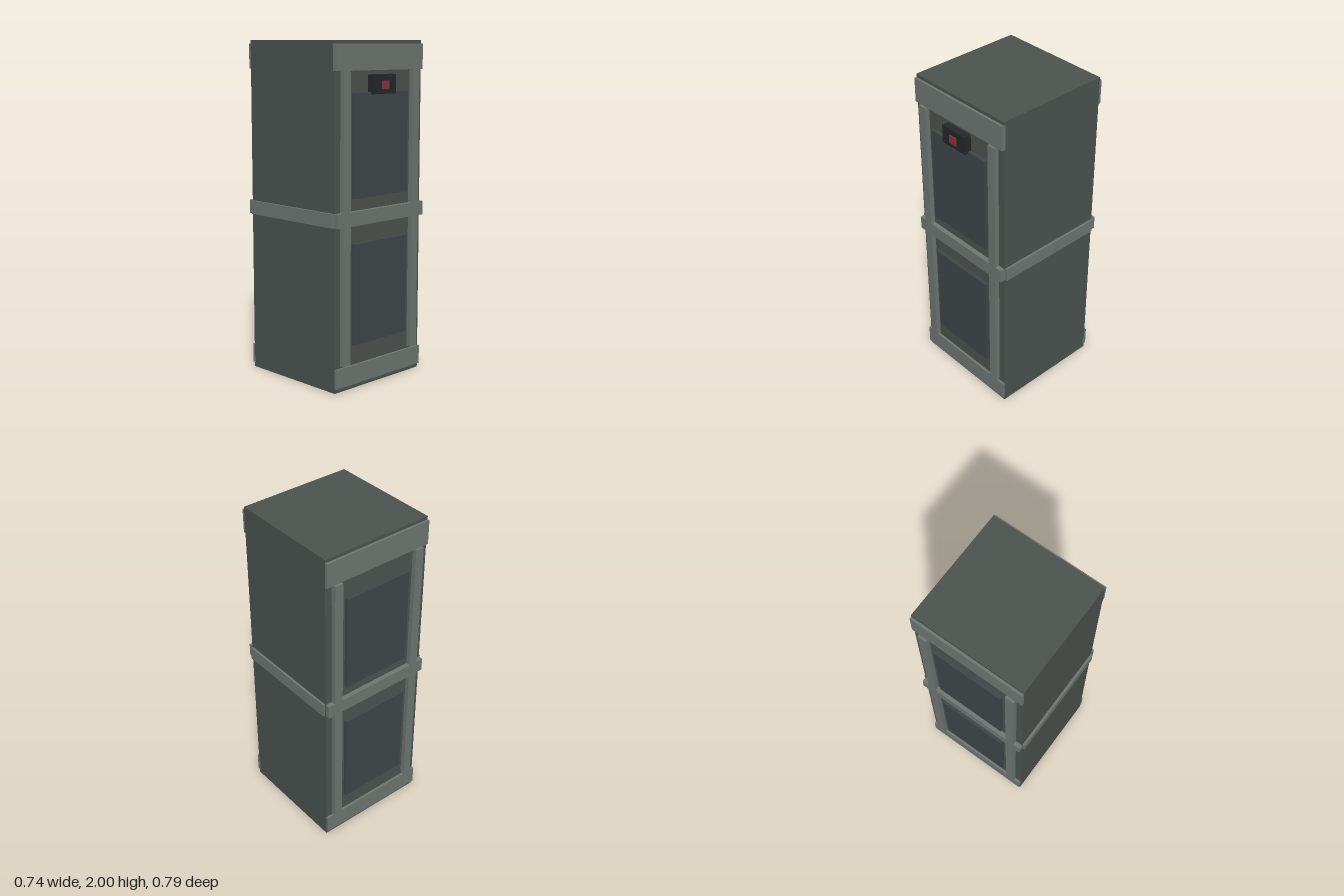
import * as THREE from 'three';

const mat = (color) => new THREE.MeshStandardMaterial({ color });

export function createModel() {
  const model = new THREE.Group();
  const shell = mat(0x4d5450), trim = mat(0x707874), glass = mat(0x40474a);
  const dark = mat(0x24292b), red = mat(0x8c3434);

  // Box given by its minimum and maximum along each axis
  function box(parent, name, material, [x0, x1], [y0, y1], [z0, z1]) {
    const mesh = new THREE.Mesh(new THREE.BoxGeometry(x1 - x0, y1 - y0, z1 - z0), material);
    mesh.position.set((x0 + x1) / 2, (y0 + y1) / 2, (z0 + z1) / 2);
    mesh.name = name;
    parent.add(mesh);
  }

  // Cabinet is built around its own centre, then set back to make room for the lock
  const W = 0.356, D = 0.355;
  const cabinet = new THREE.Group();
  cabinet.name = 'cabinet';
  cabinet.position.z = -0.013;
  model.add(cabinet);
  box(cabinet, 'body', shell, [-W, W], [0, 2], [-D, D]);

  // Identical trim and panels on the front and back
  for (const face of ['front', 'back']) {
    const door = new THREE.Group();
    door.name = face + 'Face';
    if (face === 'back') door.rotation.y = Math.PI;
    cabinet.add(door);
    box(door, 'topBand', trim, [-W, W], [1.833, 1.98], [D - 0.01, 0.37]);
    box(door, 'bottomBand', trim, [-W, W], [0.027, 0.142], [D - 0.01, 0.37]);
    box(door, 'middleBand', trim, [-W, W], [0.963, 1.045], [D - 0.01, 0.384]);
    for (const [name, x0] of [['rightRail', -0.312], ['leftRail', 0.257]]) {
      box(door, name, trim, [x0, x0 + 0.055], [1.045, 1.833], [D - 0.01, 0.384]);
      box(door, name + 'Lower', trim, [x0, x0 + 0.055], [0.155, 0.963], [D - 0.01, 0.384]);
    }
    box(door, 'upperPanel', glass, [-0.22, 0.22], [1.117, 1.711], [D - 0.01, 0.378]);
    box(door, 'lowerPanel', glass, [-0.22, 0.22], [0.262, 0.856], [D - 0.01, 0.378]);
  }

  // Side bands
  for (const [name, x] of [['leftSideBand', [W - 0.01, 0.37]], ['rightSideBand', [-0.37, 0.01 - W]]])
    box(cabinet, name, trim, x, [0.963, 1.045], [-0.349, 0.349]);

  // Lock with indicator light
  box(model, 'lock', dark, [-0.092, 0.092], [1.7, 1.81], [0.34, 0.387]);
  box(model, 'indicatorLight', red, [-0.025, 0.025], [1.728, 1.775], [0.38, 0.396]);

  return model;
}
